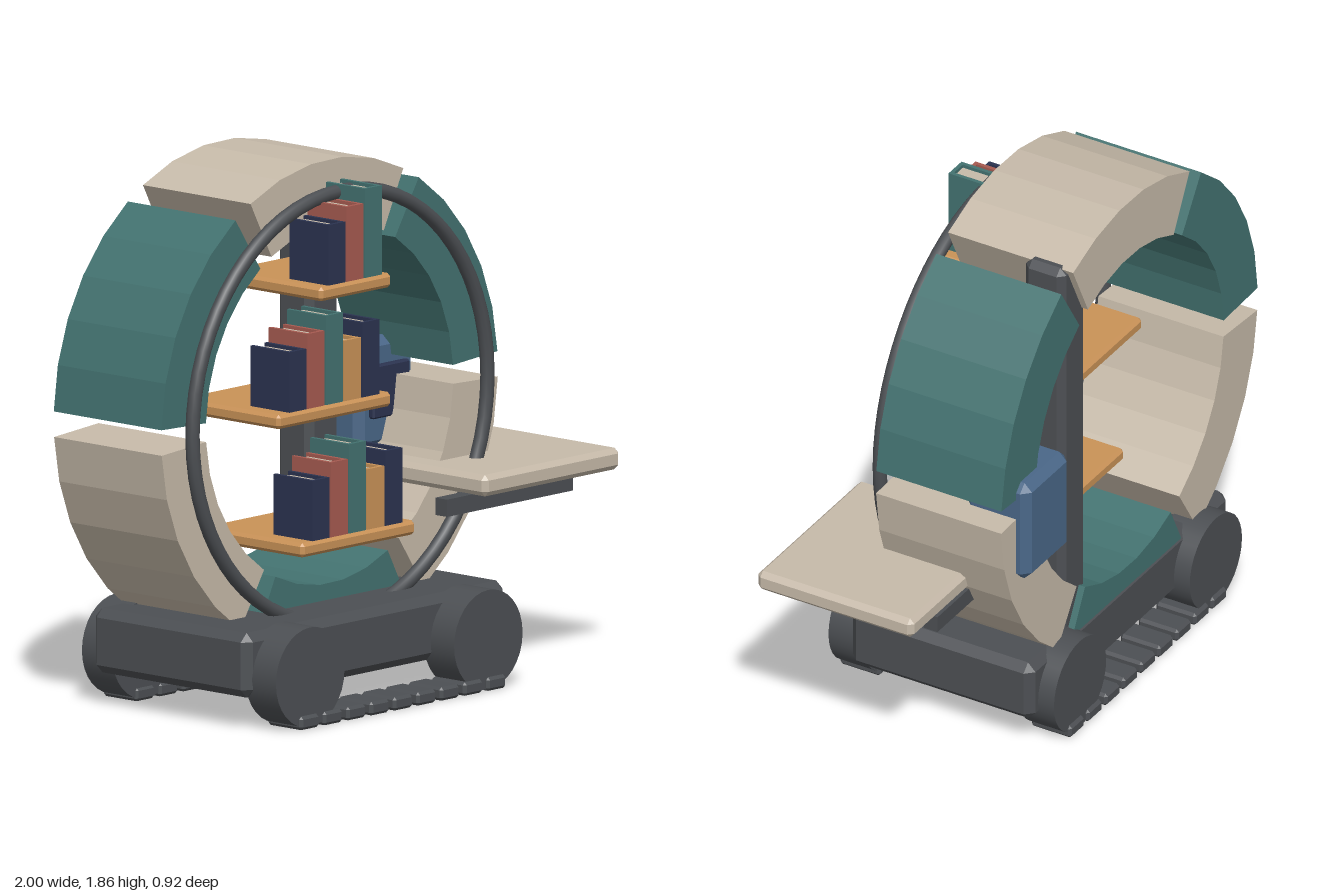
import * as THREE from 'three';
import { ConvexGeometry } from 'three/addons/geometries/ConvexGeometry.js';

const mat = (name, color) => {
  const m = new THREE.MeshStandardMaterial({ color });
  m.name = name;
  return m;
};

export function createModel() {
  const model = new THREE.Group();
  model.name = 'rollingRingLibrary';

  const dark = mat('charcoal', 0x4c4f53);
  const teal = mat('teal', 0x437270);
  const cream = mat('cream', 0xc6baa9);
  const wood = mat('wood', 0xc99257);
  const red = mat('brickRed', 0xa65a50);
  const navy = mat('navy', 0x2b3350);
  const blue = mat('steelBlue', 0x4a6788);

  const add = (name, geometry, material, parent = model) => {
    const mesh = new THREE.Mesh(geometry, material);
    mesh.name = name;
    parent.add(mesh);
    return mesh;
  };

  // Box with chamfered edges, given by its limits on each axis
  const chamferBox = (name, [x0, x1], [y0, y1], [z0, z1], c, material, parent) => {
    const hx = (x1 - x0) / 2, hy = (y1 - y0) / 2, hz = (z1 - z0) / 2;
    const points = [];
    for (const sx of [-1, 1]) for (const sy of [-1, 1]) for (const sz of [-1, 1]) {
      points.push(
        new THREE.Vector3(sx * hx, sy * (hy - c), sz * (hz - c)),
        new THREE.Vector3(sx * (hx - c), sy * hy, sz * (hz - c)),
        new THREE.Vector3(sx * (hx - c), sy * (hy - c), sz * hz));
    }
    const mesh = add(name, new ConvexGeometry(points), material, parent);
    mesh.position.set((x0 + x1) / 2, (y0 + y1) / 2, (z0 + z1) / 2);
    return mesh;
  };

  const box = (name, [x0, x1], [y0, y1], [z0, z1], material, parent) => {
    const mesh = add(name, new THREE.BoxGeometry(x1 - x0, y1 - y0, z1 - z0), material, parent);
    mesh.position.set((x0 + x1) / 2, (y0 + y1) / 2, (z0 + z1) / 2);
    return mesh;
  };

  // Six faceted ring segments with gaps between them
  const ringX = -0.15, ringY = 1.02, outer = 0.85, inner = 0.625, steps = 5;
  const segmentRing = new THREE.Group();
  segmentRing.name = 'segmentRing';
  segmentRing.position.set(ringX, ringY, -0.38);
  model.add(segmentRing);
  for (let k = 0; k < 6; k++) {
    const points = [];
    const arc = (r, i) => {
      const a = THREE.MathUtils.degToRad(4 + 60 * k + 54 * i / steps);
      points.push(new THREE.Vector2(r * Math.cos(a), r * Math.sin(a)));
    };
    for (let i = 0; i <= steps; i++) arc(outer, i);
    for (let i = steps; i >= 0; i--) arc(inner, i);
    add('ringSegment', new THREE.ExtrudeGeometry(new THREE.Shape(points), {
      depth: 0.497, bevelEnabled: false,
    }), k % 2 ? cream : teal, segmentRing);
  }

  // Round tube in front of the segments
  add('frontHoop', new THREE.TorusGeometry(0.745, 0.025, 10, 64), dark)
    .position.set(ringX, ringY, 0.165);

  // Chassis and mast
  chamferBox('base', [-0.81, 0.51], [0.115, 0.34], [-0.385, 0.34], 0.03, dark);
  chamferBox('mast', [0.09, 0.25], [0.28, 1.79], [-0.355, -0.195], 0.025, dark);

  // Wheels and ground treads on both sides
  for (const side of [-1, 1]) {
    for (const x of [-0.61, 0.29]) {
      const wheel = add('wheel', new THREE.CylinderGeometry(0.173, 0.173, 0.14, 32), dark);
      wheel.rotation.x = Math.PI / 2;
      wheel.position.set(x, 0.18, side * 0.378);
    }
    for (let i = 0; i < 9; i++) {
      const x = -0.62 + i * 0.118, z = side * 0.38;
      chamferBox('tread', [x - 0.048, x + 0.048], [0.003, 0.05], [z - 0.08, z + 0.08], 0.01, dark);
    }
  }

  // A book: spine, two cover boards and a recessed page block
  const addBook = (x, y, height, cover, parent) => {
    const book = new THREE.Group();
    book.name = 'book';
    parent.add(book);
    const z0 = 0.12, z1 = 0.3, h = 0.043, t = 0.014;
    box('coverBoard', [x - h, x - h + t], [y, y + height], [z0, z1 - t], cover, book);
    box('coverBoard', [x + h - t, x + h], [y, y + height], [z0, z1 - t], cover, book);
    box('spine', [x - h, x + h], [y, y + height], [z1 - t, z1], cover, book);
    box('pages', [x - h + t, x + h - t], [y + 0.01, y + height - 0.012], [z0 + 0.008, z1 - t], cream, book);
  };

  // Shelves: x limits, top height, first book position, number of books
  const covers = [navy, red, teal, wood, navy];
  const heights = [0.21, 0.26, 0.31, 0.21, 0.26];
  const shelves = [
    { x: [-0.40, -0.04], top: 1.483, first: -0.313, count: 3 },
    { x: [-0.615, -0.04], top: 1.07, first: -0.51, count: 5 },
    { x: [-0.495, 0.08], top: 0.607, first: -0.393, count: 5 },
  ];
  for (const s of shelves) {
    const group = new THREE.Group();
    group.name = 'bookshelf';
    model.add(group);
    chamferBox('shelf', s.x, [s.top - 0.05, s.top], [-0.155, 0.307], 0.012, wood, group);
    for (let i = 0; i < s.count; i++) {
      addBook(s.first + i * 0.092, s.top, heights[i], covers[i], group);
    }
  }

  // Side desk on two rails
  chamferBox('desk', [0.31, 1.0], [0.665, 0.74], [-0.205, 0.415], 0.018, cream);
  for (const z of [-0.178, 0.317]) {
    box('deskRail', [0.195, 0.83], [0.606, 0.666], [z - 0.027, z + 0.027], dark);
  }

  // Control box with a screen
  chamferBox('controlBox', [0.31, 0.6], [0.745, 1.13], [-0.425, -0.168], 0.03, blue);
  chamferBox('screen', [0.36, 0.545], [0.855, 1.04], [-0.172, -0.145], 0.006, navy);

  return model;
}
